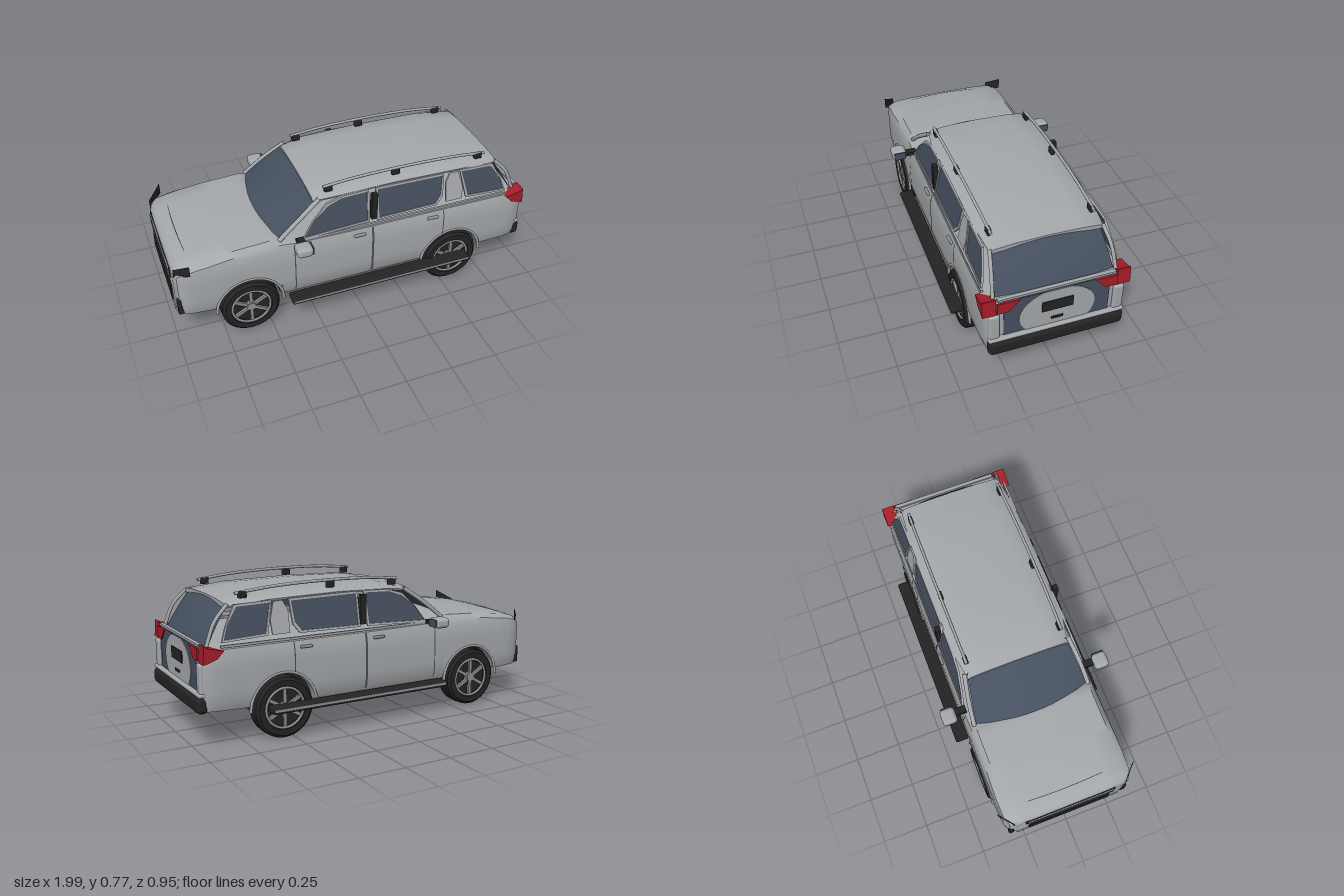
import * as THREE from 'three';
import { toCreasedNormals } from 'three/addons/utils/BufferGeometryUtils.js';
import { RoundedBoxGeometry } from 'three/addons/geometries/RoundedBoxGeometry.js';

const mat = (name, color) => {
  const m = new THREE.MeshStandardMaterial({ color, side: THREE.DoubleSide });
  m.name = name;
  return m;
};
const HALF = 0.365, WHEELS = [-0.61, 0.55], ARCH = 0.178, AXLE = 0.158;
const lerp = THREE.MathUtils.lerp;

// piecewise linear lookup in [[x, value], ...]
function table(pts, x) {
  if (x <= pts[0][0]) return pts[0][1];
  for (let i = 1; i < pts.length; i++) {
    const [x0, a] = pts[i - 1], [x1, b] = pts[i];
    if (x <= x1) return lerp(a, b, (x - x0) / (x1 - x0));
  }
  return pts[pts.length - 1][1];
}

// skin half-profiles [z, y] (bottom centre to top centre), mirrored in z, along x
function loft(sections) {
  const pos = [], idx = [];
  let n = 0;
  for (const { x, half } of sections) {
    const ring = [...half, ...half.slice(1, -1).reverse().map(([z, y]) => [-z, y])];
    n = ring.length;
    ring.forEach(([z, y]) => pos.push(x, y, z));
  }
  const last = sections.length - 1;
  for (let j = 0; j < n; j++) {
    const k = (j + 1) % n;
    for (let i = 0; i < last; i++) {
      const a = i * n + j, b = i * n + k, c = b + n, d = a + n;
      idx.push(a, d, b, b, d, c);
    }
  }
  for (const i of [0, last]) {
    const { x, half } = sections[i], centre = pos.length / 3;
    pos.push(x, (half[0][1] + half[half.length - 1][1]) / 2, 0);
    for (let j = 0; j < n; j++) {
      const a = i * n + j, b = i * n + (j + 1) % n;
      idx.push(centre, ...(i ? [b, a] : [a, b]));
    }
  }
  const g = new THREE.BufferGeometry();
  g.setAttribute('position', new THREE.Float32BufferAttribute(pos, 3));
  g.setIndex(idx);
  return toCreasedNormals(g, 0.6);
}

// surface from f(u in -1..1, v in 0..1) -> [x, y, z]
function patch(f, nu, nv) {
  const g = new THREE.PlaneGeometry(2, 1, nu, nv), p = g.attributes.position;
  for (let i = 0; i < p.count; i++) p.setXYZ(i, ...f(p.getX(i), p.getY(i) + 0.5));
  g.computeVertexNormals();
  return g;
}

const shapeOf = pts => new THREE.Shape(pts.map(p => new THREE.Vector2(...p)));
const extrude = (shape, depth) => new THREE.ExtrudeGeometry(shape, { depth, bevelEnabled: false, curveSegments: 32 });
const box = (w, h, d, r = 0) => r ? new RoundedBoxGeometry(w, h, d, 3, r) : new THREE.BoxGeometry(w, h, d);

// bulge of the body flank against height
const bulge = y => 1 - 0.06 * (Math.max(0, 0.25 - y) / 0.08) ** 2 - 0.05 * (Math.max(0, y - 0.4) / 0.1) ** 2;

export function createModel() {
  const paint = mat('silver paint', 0xa6a9ac), glass = mat('tinted glass', 0x465060), black = mat('black plastic', 0x242424);
  const red = mat('red lens', 0xa81c2a), alloy = mat('alloy', 0x8f9295), seam = mat('dark grey trim', 0x4a4c4e);
  const car = new THREE.Group();
  const add = (name, geo, m, x = 0, y = 0, z = 0, parent = car) => {
    const o = new THREE.Mesh(geo, m);
    o.name = name;
    o.position.set(x, y, z);
    parent.add(o);
    return o;
  };

  // lower body with hood and full-width wheel arches
  const width = [[-0.985, 0.3], [-0.97, 0.335], [-0.93, 0.357], [-0.82, HALF], [0.88, HALF], [0.94, 0.358], [0.965, 0.345]];
  const top = [[-0.985, 0.445], [-0.965, 0.475], [-0.9, 0.497], [-0.7, 0.522], [-0.47, 0.535], [-0.35, 0.505], [0, 0.5], [0.93, 0.5], [0.965, 0.492]];
  const drop = [[-0.985, 0.03], [-0.5, 0.035], [-0.35, 0.012], [1, 0.012]];
  const base = [[-0.985, 0.195], [-0.8, 0.185], [-0.4, 0.172], [0.4, 0.172], [0.965, 0.19]];
  const xs = [-0.985, -0.97, -0.95, -0.93, -0.88, -0.82, -0.42, -0.35, -0.2, 0, 0.2, 0.34, 0.76, 0.82, 0.88, 0.92, 0.945, 0.965];
  for (const c of WHEELS) for (let i = 0; i <= 16; i++) xs.push(c - ARCH * Math.cos(i / 16 * Math.PI));
  xs.sort((a, b) => a - b);
  add('body', loft(xs.map(x => {
    const w = table(width, x), t = table(top, x), shoulder = t - table(drop, x);
    let b = table(base, x);
    for (const c of WHEELS) b = Math.max(b, AXLE + Math.sqrt(Math.max(0, ARCH ** 2 - (x - c) ** 2)));
    const flank = [0, 0.12, 0.3, 0.5, 0.7, 0.87, 1].map(k => lerp(b, shoulder, k)).map(y => [w * bulge(y), y]);
    return { x, half: [[0, b], [0.8 * w, b], ...flank, [0.88 * w, lerp(shoulder, t, 0.7)], [0.6 * w, t - 0.003], [0, t]] };
  })), paint);
  add('hoodSeam', patch((u, v) => [-0.905 + 0.004 * v + 0.015 * u * u, table(top, -0.9) + 0.002 - 0.012 * u * u, u * 0.29], 12, 1), seam);

  // wheel housings, arch lips and wheels
  const tyre = new THREE.LatheGeometry([[0, -0.02], [0.1, -0.02], [0.105, -0.05], [0.142, -0.053], [0.156, -0.04],
    [0.158, 0], [0.156, 0.04], [0.142, 0.053], [0.112, 0.052], [0.106, 0.025], [0, 0.02]].map(p => new THREE.Vector2(...p)), 40);
  tyre.rotateX(Math.PI / 2);
  const tyreGeo = toCreasedNormals(tyre, 0.7);
  WHEELS.forEach((x, i) => {
    const well = new THREE.CylinderGeometry(0.174, 0.174, 0.64, 24, 1, true, Math.PI / 2, Math.PI);
    add('wheelHousing', well.rotateX(Math.PI / 2), i ? glass : black, x, AXLE);
    for (const s of [1, -1]) {
      add('archLip', new THREE.TorusGeometry(0.181, 0.008, 6, 28, Math.PI), paint, x, AXLE, s * 0.362);
      const wheel = new THREE.Group();
      wheel.name = 'wheel';
      wheel.position.set(x, AXLE, s * 0.322);
      if (s < 0) wheel.rotation.y = Math.PI;
      car.add(wheel);
      add('tyre', tyreGeo, black, 0, 0, 0, wheel);
      add('rim', new THREE.TorusGeometry(0.103, 0.007, 8, 36), alloy, 0, 0, 0.046, wheel);
      add('hub', new THREE.CylinderGeometry(0.024, 0.028, 0.025, 16).rotateX(Math.PI / 2), alloy, 0, 0, 0.038, wheel);
      for (let k = 0; k < 6; k++)
        add('spoke', box(0.085, 0.017, 0.014).translate(0.06, 0, 0.04).rotateZ(k * Math.PI / 3 + 0.52), alloy, 0, 0, 0, wheel);
    }
  });

  // roof and end glass
  const roofY = [[-0.23, 0.705], [-0.1, 0.724], [0.2, 0.732], [0.6, 0.726], [0.82, 0.706]];
  add('roof', loft([-0.23, -0.19, -0.1, 0.05, 0.2, 0.4, 0.6, 0.75, 0.82].map(x => {
    const y = table(roofY, x), w = table([[-0.23, 0.275], [-0.1, 0.3], [0.6, 0.305], [0.82, 0.285]], x);
    return { x, half: [[0, y - 0.02], [w * 0.92, y - 0.034], [w, y - 0.036], [w * 1.01, y - 0.026], [w * 0.94, y - 0.013], [w * 0.6, y - 0.004], [0, y]] };
  })), paint);
  add('windshield', patch((u, v) => [lerp(-0.48, -0.215, v) + u * u * lerp(0.055, 0.015, v),
    lerp(0.532, 0.706, v) - 0.012 * u * u + 0.03 * v * (1 - v), u * lerp(0.315, 0.275, v)], 12, 6), glass);
  add('rearGlass', patch((u, v) => [lerp(0.94, 0.815, v) - 0.02 * u * u + 0.03 * v * (1 - v),
    lerp(0.503, 0.702, v) - 0.008 * u * u, u * lerp(0.305, 0.27, v)], 12, 6), glass);

  // parts found on both sides, modelled on +z and mirrored
  const lean = (pts, depth, out = 0, hole) => {
    const shape = shapeOf(pts);
    if (hole) shape.holes.push(new THREE.Path(hole.map(p => new THREE.Vector2(...p))));
    const g = extrude(shape, depth), p = g.attributes.position;
    for (let i = 0; i < p.count; i++) p.setZ(i, p.getZ(i) + out + 0.342 - (p.getY(i) - 0.5) * 0.2);
    g.computeVertexNormals();
    return g;
  };
  const grow = (pts, d) => {
    const cx = pts.reduce((a, p) => a + p[0], 0) / pts.length, cy = pts.reduce((a, p) => a + p[1], 0) / pts.length;
    return pts.map(([x, y]) => [x + d * Math.sign(x - cx), y + d * Math.sign(y - cy)]);
  };
  const tube = (pts, r) => new THREE.TubeGeometry(new THREE.CatmullRomCurve3(pts.map(p => new THREE.Vector3(...p))), 20, r, 8);
  const windows = [
    [[-0.3, 0.515], [0.05, 0.53], [0.055, 0.69], [-0.09, 0.685], [-0.16, 0.66], [-0.24, 0.6]],
    [[0.115, 0.53], [0.44, 0.535], [0.475, 0.58], [0.485, 0.685], [0.115, 0.69]],
    [[0.635, 0.54], [0.855, 0.53], [0.83, 0.6], [0.775, 0.68], [0.6, 0.685]],
  ];
  for (const s of [1, -1]) {
    const side = new THREE.Group();
    side.name = s > 0 ? 'leftSide' : 'rightSide';
    side.scale.z = s;
    car.add(side);
    const put = (name, geo, m, x, y, z) => add(name, geo, m, x, y, z, side);
    for (const w of windows) {
      put('sideWindow', lean(w, 0.006), glass);
      put('windowFrame', lean(grow(w, 0.011), 0.012, -0.002, w), paint);
    }
    put('rearDoorPillar', lean([[0.505, 0.53], [0.6, 0.53], [0.605, 0.6], [0.58, 0.69], [0.53, 0.69], [0.505, 0.64]], 0.01), paint);
    put('centrePillar', box(0.032, 0.155, 0.028), black, 0.086, 0.608, 0.335);
    put('frontPillar', tube([[-0.43, 0.515, 0.325], [-0.32, 0.605, 0.312], [-0.2, 0.69, 0.288]], 0.012), paint);
    put('rearPillar', tube([[0.93, 0.5, 0.312], [0.885, 0.61, 0.302], [0.81, 0.69, 0.285]], 0.01), paint);
    put('beltTrim', box(1.2, 0.012, 0.012), paint, 0.27, 0.5, 0.343);

    // door seams and handles
    for (const [x, w] of [[-0.36, 0.003], [0.075, 0.006], [0.49, 0.003]])
      put('doorSeam', patch((u, v) => { const y = lerp(x > 0.4 ? 0.33 : 0.19, 0.485, v); return [x + u * w, y, HALF * bulge(y) + 0.002]; }, 1, 10), seam);
    for (const x of [0, 0.425]) put('doorHandle', box(0.066, 0.015, 0.016, 0.006), alloy, x, 0.457, 0.364);

    // running board
    put('runningBoard', box(1.04, 0.034, 0.075, 0.01), black, 0.12, 0.165, 0.395);
    put('boardTrim', box(1.03, 0.012, 0.008), alloy, 0.12, 0.167, 0.43);

    // mirror
    put('mirrorArm', box(0.04, 0.02, 0.07), black, -0.325, 0.505, 0.37);
    put('mirrorShell', box(0.085, 0.055, 0.08, 0.02), paint, -0.335, 0.513, 0.435);
    put('mirrorGlass', box(0.006, 0.042, 0.062), glass, -0.292, 0.513, 0.435);

    // roof rail
    put('roofRail', tube([[-0.17, 0.742, 0.262], [0, 0.758, 0.264], [0.25, 0.764, 0.265], [0.55, 0.756, 0.264], [0.76, 0.735, 0.26]], 0.008), paint);
    for (const [x, y] of [[-0.14, 0.727], [0.235, 0.741], [0.72, 0.727]]) put('railFoot', box(0.045, 0.035, 0.022, 0.006), black, x, y, 0.26);

    // head lamp with upright fin, fog lamp
    put('headLamp', patch((u, v) => [lerp(-0.98, -0.905, (u + 1) / 2), lerp(0.42 + 0.022 * (u + 1), 0.475 + 0.026 * (u + 1), v),
      lerp(0.31, 0.378, (u + 1) / 2)], 4, 1), black);
    put('fogLamp', box(0.03, 0.1, 0.03, 0.008), black, -0.968, 0.245, 0.325);

    // tail lamp
    put('tailLampCorner', extrude(shapeOf([[0.865, 0.487], [0.9, 0.45], [0.96, 0.43], [0.972, 0.43], [0.965, 0.52], [0.94, 0.505]]), 0.068), red, 0, 0, 0.308);
    const inner = extrude(shapeOf([[-0.19, 0.498], [-0.305, 0.498], [-0.305, 0.436], [-0.245, 0.436]]), 0.009);
    put('tailLampInner', inner.rotateY(Math.PI / 2), red, 0.967);
    put('tailgateEdge', box(0.03, 0.15, 0.055, 0.012), paint, 0.965, 0.35, 0.318);
  }

  // tailgate
  add('tailgatePanel', box(0.008, 0.22, 0.54), glass, 0.965, 0.388);
  const oval = [];
  for (let i = 0; i < 48; i++) {
    const a = i / 24 * Math.PI;
    oval.push([0.193 * Math.cos(a), THREE.MathUtils.clamp(0.365 + 0.142 * Math.sin(a), 0.28, 0.497)]);
  }
  add('tailgateOval', extrude(shapeOf(oval), 0.006).rotateY(Math.PI / 2), paint, 0.966);
  add('rearPlate', box(0.008, 0.06, 0.16), black, 0.973, 0.405);
  add('tailgateHandle', box(0.01, 0.012, 0.06), black, 0.973, 0.322);
  add('tailgateTrim', box(0.02, 0.012, 0.6), paint, 0.955, 0.506);

  // bumpers
  add('rearLedge', box(0.05, 0.02, 0.7, 0.008), paint, 0.965, 0.272);
  add('rearBumper', box(0.06, 0.085, 0.7, 0.025), black, 0.968, 0.222);
  add('frontLip', box(0.05, 0.02, 0.6, 0.008), paint, -0.965, 0.195);

  // grilles
  add('lowerGrille', box(0.014, 0.1, 0.46), black, -0.986, 0.265);
  add('upperGrille', box(0.01, 0.06, 0.5), black, -0.985, 0.41);
  for (const y of [0.392, 0.412, 0.432]) add('grilleBar', box(0.012, 0.008, 0.48), alloy, -0.99, y);
  return car;
}
